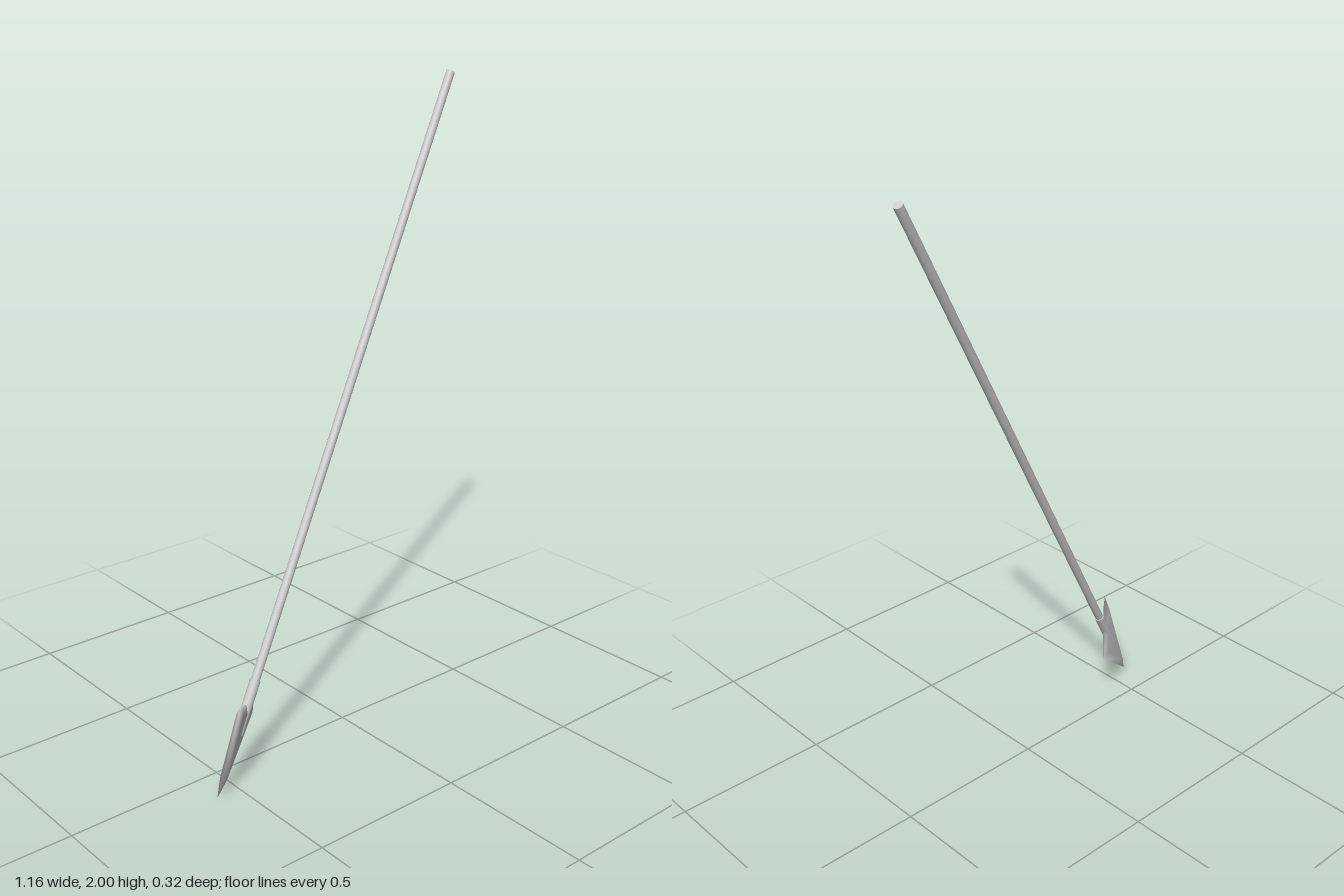
import * as THREE from 'three';
import { mergeVertices } from 'three/addons/utils/BufferGeometryUtils.js';
import { ConvexGeometry } from 'three/addons/geometries/ConvexGeometry.js';

const V = (x, y, z) => new THREE.Vector3(x, y, z);

export function createModel() {
  const model = new THREE.Group();
  model.name = 'spear';
  const material = new THREE.MeshStandardMaterial({ color: 0xcccccc });

  // The spear is built upright with its point at the origin, then leaned over
  const spear = new THREE.Group();
  spear.name = 'leaningSpear';
  model.add(spear);

  const tip = V(-0.58, 0, 0.115);
  const tail = V(0.566, 1.993, -0.148);
  const length = tip.distanceTo(tail);
  const along = tail.clone().sub(tip).normalize();
  const across = V(0.16, -0.11, -0.155);
  across.addScaledVector(along, -across.dot(along)).normalize();
  const normal = across.clone().cross(along);
  spear.quaternion.setFromRotationMatrix(new THREE.Matrix4().makeBasis(across, along, normal));
  spear.position.copy(tip);

  const add = (name, geometry) => {
    const mesh = new THREE.Mesh(geometry, material);
    mesh.name = name;
    spear.add(mesh);
  };
  const rod = (name, from, to, rTop, rBottom) =>
    add(name, new THREE.CylinderGeometry(rTop, rBottom, to - from, 12).translate(0, (from + to) / 2, 0));

  // Blade: a triangle with sharp edges, swelling to a thicker middle
  const outline = [V(0, 0, 0), V(0.125, 0.285, 0), V(-0.125, 0.285, 0)];
  const centre = V(0, 0.2, 0);
  const points = [...outline];
  for (const side of [1, -1]) {
    for (const p of outline) {
      const inner = p.clone().lerp(centre, 0.3);
      inner.z = side * 0.011;
      points.push(inner);
    }
  }
  let blade = new ConvexGeometry(points);
  blade.deleteAttribute('normal');
  blade = mergeVertices(blade);
  blade.computeVertexNormals();
  add('blade', blade);

  // Socket gripping the blade, with a rounded front end
  rod('socket', 0.195, 0.36, 0.0165, 0.0155);
  add('socketEnd', new THREE.SphereGeometry(0.0155, 12, 8).scale(1, 0.5, 1).translate(0, 0.195, 0));

  // Shaft in three lengths
  const joints = [0.35, 0.585, 1.385, length];
  for (let i = 0; i < 3; i++) rod('shaft' + (i + 1), joints[i], joints[i + 1], 0.0138, 0.0138);

  return model;
}
